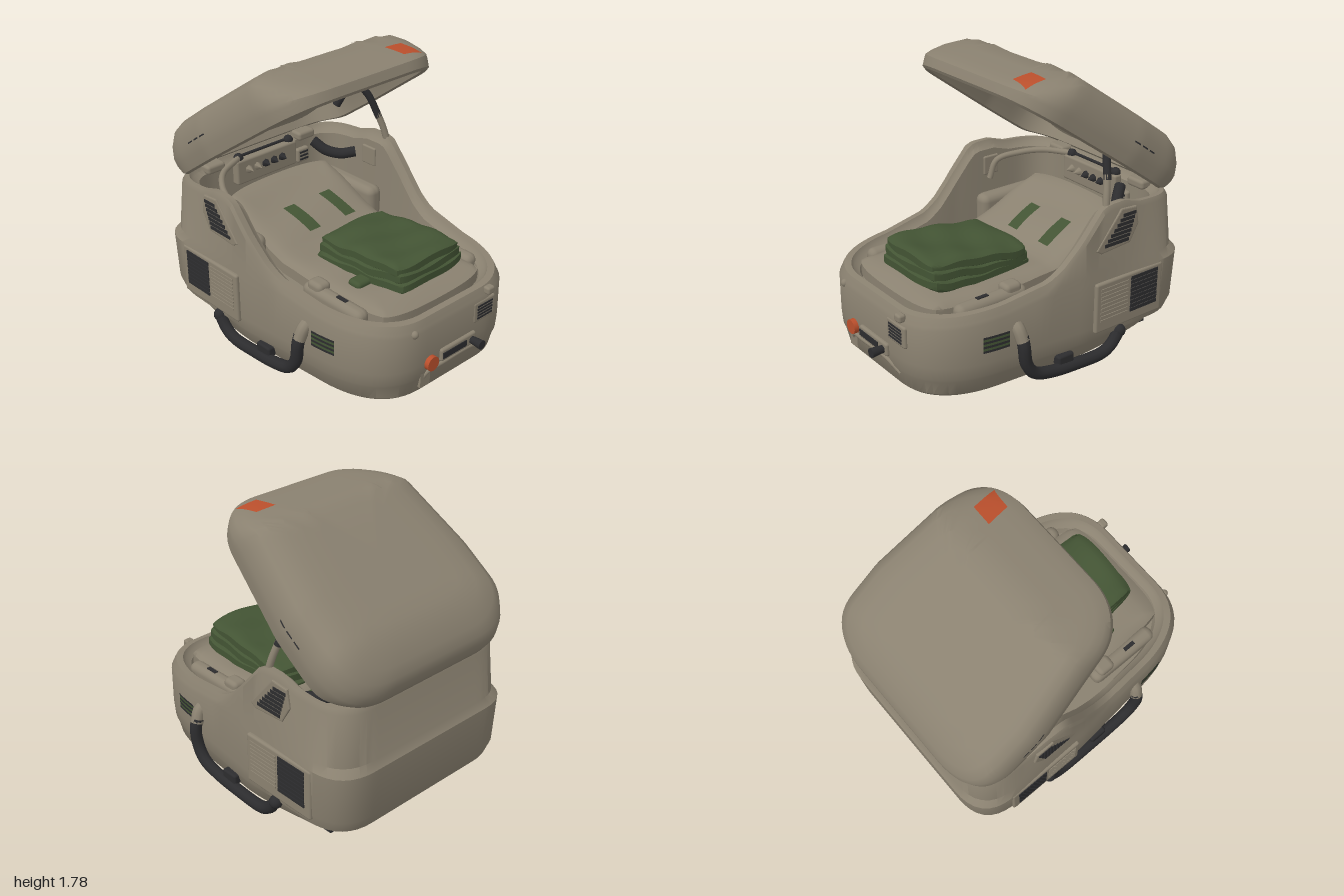
import * as THREE from 'three';
import { toCreasedNormals } from 'three/addons/utils/BufferGeometryUtils.js';
import { RoundedBoxGeometry } from 'three/addons/geometries/RoundedBoxGeometry.js';

const V = (x, y, z) => new THREE.Vector3(x, y, z);
const mat = (name, color) => new THREE.MeshStandardMaterial({ name, color, side: THREE.DoubleSide });
const shell = mat('khaki shell', 0x8a8170);
const black = mat('black rubber', 0x2c2c2e);
const green = mat('green cloth', 0x435434);
const orange = mat('orange marker', 0xba4f2c);
const smooth = THREE.MathUtils.smoothstep;

function add(parent, name, geo, material, x = 0, y = 0, z = 0) {
  const m = new THREE.Mesh(geo, material);
  m.name = name;
  m.position.set(x, y, z);
  parent.add(m);
  return m;
}
const box = (g, name, m, w, h, d, x, y, z) => add(g, name, new THREE.BoxGeometry(w, h, d), m, x, y, z);
const rounded = (g, name, m, w, h, d, x, y, z, r = 0.015) =>
  add(g, name, new RoundedBoxGeometry(w, h, d, 2, r), m, x, y, z);
const tube = (g, name, m, pts, r) =>
  add(g, name, new THREE.TubeGeometry(new THREE.CatmullRomCurve3(pts.map(p => V(...p)), false, 'centripetal'), 40, r, 10), m);
const ball = (g, name, m, r, x, y, z) => add(g, name, new THREE.SphereGeometry(r, 14, 10), m, x, y, z);

// Symmetric plan outline: front corners and back corners are bezier curves
function outline(front, back, wf, wb, flatF, flatB, zf, zs, zb) {
  const s = new THREE.Shape();
  s.moveTo(0, front);
  s.lineTo(flatF, front);
  s.bezierCurveTo(wf * 0.8, front, wf * 0.97, zf + (front - zf) * 0.55, wf, zf);
  s.lineTo(wb, zs);
  s.lineTo(wb, zb);
  s.bezierCurveTo(wb, (zb + back * 2) / 3, (wb * 2 + flatB) / 3, back, flatB, back);
  s.lineTo(0, back);
  const half = s.getSpacedPoints(64);
  return half.concat(half.slice(1, -1).reverse().map(p => new THREE.Vector2(-p.x, p.y)));
}

// Loft rings of one outline; each row is [inset, height], either may be a rule of z; inset 1 closes the centre
function loft(pts, hx, hz, rows) {
  const pos = [], idx = [], n = pts.length, val = (f, z) => typeof f === 'function' ? f(z) : f;
  for (const [inset, h] of rows)
    for (const p of pts) {
      const d = val(inset, p.y);
      const x = d === 1 ? 0 : p.x * (1 - d / hx), z = d === 1 ? 0 : p.y * (1 - d / hz);
      pos.push(x, val(h, z), z);
    }
  for (let j = 0; j < rows.length - 1; j++)
    for (let i = 0; i < n; i++) {
      const a = j * n + i, b = j * n + (i + 1) % n;
      if (rows[j][0] !== 1) idx.push(a, b, b + n);
      if (rows[j + 1][0] !== 1) idx.push(a, b + n, a + n);
    }
  const g = new THREE.BufferGeometry();
  g.setAttribute('position', new THREE.Float32BufferAttribute(pos, 3));
  g.setIndex(idx);
  return toCreasedNormals(g, 0.6);
}

// Soft pad with pinched edges, rounded corners and a height rule
function pad(w, h, d, rule) {
  const g = new THREE.BoxGeometry(w, h, d, 28, 4, 28), p = g.attributes.position;
  for (let i = 0; i < p.count; i++) {
    const u = p.getX(i) / w * 2, v = p.getZ(i) / d * 2;
    const e = Math.max(Math.abs(u), Math.abs(v)), c = 1 - 0.07 * (u * v) ** 4;
    const y = p.getY(i) * Math.sqrt(1 - 0.75 * e ** 10);
    p.setXYZ(i, p.getX(i) * c, y + rule(p.getX(i), p.getZ(i)), p.getZ(i) * c);
  }
  return toCreasedNormals(g, 0.8);
}

// Thin plate laid onto a surface by casting rays along dir
function decal(g, name, m, target, dir, w, h, place) {
  const geo = new THREE.PlaneGeometry(w, h, 6, 6), p = geo.attributes.position, ray = new THREE.Raycaster();
  for (let i = 0; i < p.count; i++) {
    const o = place(p.getX(i), p.getY(i));
    ray.set(o, dir);
    const hit = ray.intersectObject(target, false)[0];
    const q = (hit ? hit.point : o).clone().addScaledVector(dir, -0.006);
    p.setXYZ(i, q.x, q.y, q.z);
  }
  geo.computeVertexNormals();
  return add(g, name, geo, m);
}

// Height of the rim along z, front to back
const rimPts = [[0.9, 0.53], [0.8, 0.545], [0.4, 0.57], [0.1, 0.62], [0, 0.68], [-0.1, 0.78], [-0.28, 0.985],
  [-0.33, 1], [-0.45, 1], [-0.58, 0.96], [-0.95, 0.935]];
function rim(z) {
  for (let i = 1; i < rimPts.length; i++) {
    const [z0, y0] = rimPts[i - 1], [z1, y1] = rimPts[i];
    if (z >= z1) return y0 + (y1 - y0) * Math.max(0, (z0 - z) / (z0 - z1));
  }
  return 0.935;
}

function buildBody(root) {
  const g = new THREE.Group();
  g.name = 'body';
  root.add(g);
  const bottom = z => 0.04 - 0.02 * z;
  const rear = (a, b) => z => a + b * smooth(-z, 0.2, 0.95);
  const body = add(g, 'tub', loft(outline(0.9, -0.965, 0.65, 0.705, 0.25, 0.45, 0.42, -0.15, -0.7), 0.705, 0.96, [
    [1, 0.04], [rear(0.06, 0.06), bottom], [rear(0.035, 0.065), z => bottom(z) + 0.025], [rear(0.015, 0.07), 0.14],
    [rear(0.006, 0.01), 0.16], [rear(0, -0.01), 0.24], [rear(0, -0.022), z => Math.min(0.545, rim(z) - 0.065)],
    [rear(0.01, 0), z => Math.min(0.59, rim(z) - 0.045)],
    [rear(0.015, 0.02), z => rim(z) - 0.03], [rear(0.03, 0.02), rim], [0.07, rim], [0.085, z => rim(z) - 0.03],
    [0.115, z => rim(z) - 0.05], [0.13, 0.46], [1, 0.46]]), shell);

  for (const s of [-1, 1]) {
    // Lower louvre panel
    rounded(g, 'louvrePanel', shell, 0.05, 0.33, 0.54, s * 0.703, 0.37, -0.475);
    for (let i = 0; i < 9; i++) {
      box(g, 'darkLouvre', black, 0.008, 0.022, 0.22, s * 0.729, 0.285 + i * 0.027, -0.59);
      box(g, 'louvreSlat', shell, 0.012, 0.012, 0.22, s * 0.727, 0.285 + i * 0.026, -0.35);
    }
    // Upper slanted vent
    const f = new THREE.Shape([[0.23, 0.74], [0.26, 0.72], [0.48, 0.735], [0.54, 0.84], [0.52, 0.945], [0.41, 0.955]].map(q => new THREE.Vector2(...q)));
    const frame = add(g, 'upperVentFrame', new THREE.ExtrudeGeometry(f, { depth: 0.02, bevelSize: 0.008, bevelThickness: 0.006, bevelSegments: 2 }), shell, s > 0 ? 0.672 : -0.692);
    frame.rotation.y = Math.PI / 2;
    for (let i = 0; i < 7; i++)
      box(g, 'upperVentSlot', black, 0.006, 0.021, 0.19 - i * 0.015, s * 0.699, 0.757 + i * 0.027, -0.375 - i * 0.0157);
    // Front side grille in alternating strips
    for (let i = 0; i < 7; i++)
      decal(g, 'grilleStrip', i % 2 ? green : black, body, V(-s, 0, 0), 0.17, 0.0145, (a, b) => V(s * 2, 0.318 + i * 0.0145 + b, 0.475 + a));
    // Carrying handle
    const X = s * 0.7;
    tube(g, 'sideHandle', black, [[s * 0.68, 0.36, 0.32], [X, 0.3, 0.32], [X, 0.18, 0.3], [X, 0.1, 0.24], [X, 0.062, 0.12],
      [X, 0.042, -0.08], [X, 0.042, -0.3], [X, 0.08, -0.37], [X, 0.16, -0.43]], 0.038);
    tube(g, 'handleSocket', shell, [[s * 0.62, 0.43, 0.33], [s * 0.66, 0.4, 0.33], [s * 0.69, 0.33, 0.32]], 0.04);
    ball(g, 'handleEnd', black, 0.042, X, 0.15, -0.425);
    rounded(g, 'handleBracket', black, 0.06, 0.07, 0.12, s * 0.68, 0.1, 0);
    box(g, 'cornerFoot', black, 0.1, 0.03, 0.08, s * 0.53, 0.065, -0.72);
    // Plate on the inner wall
    rounded(g, 'innerWallPlate', shell, 0.03, 0.13, 0.12, s * 0.59, 0.84, -0.42, 0.01);
  }

  // Front fittings
  add(g, 'frontMarker', new THREE.CylinderGeometry(0.046, 0.046, 0.05, 24), orange, -0.2, 0.235, 0.905).rotation.x = Math.PI / 2;
  rounded(g, 'latchPlate', shell, 0.3, 0.085, 0.04, 0.03, 0.242, 0.9);
  box(g, 'latchSlot', black, 0.2, 0.04, 0.008, -0.01, 0.242, 0.921);
  add(g, 'frontKnob', new THREE.CylinderGeometry(0.03, 0.022, 0.1, 14), black, 0.14, 0.24, 0.95).rotation.x = Math.PI / 2;
  rounded(g, 'frontVentFrame', shell, 0.19, 0.14, 0.04, 0.26, 0.395, 0.885);
  for (let i = 0; i < 5; i++) box(g, 'frontVentSlot', black, 0.13, 0.012, 0.008, 0.26, 0.355 + i * 0.02, 0.905);
  rounded(g, 'rimCatch', shell, 0.06, 0.05, 0.05, 0.3, 0.51, 0.895);
  ball(g, 'rimStud', shell, 0.025, -0.32, 0.47, 0.885);
  tube(g, 'towBar', shell, [[-0.24, 0.08, 0.86], [-0.22, 0.17, 0.895], [-0.1, 0.18, 0.9], [0.14, 0.18, 0.9], [0.26, 0.12, 0.875]], 0.014);
  box(g, 'towTab', shell, 0.08, 0.1, 0.03, -0.23, 0.13, 0.88);
}

function buildInterior(root) {
  const g = new THREE.Group();
  g.name = 'interior';
  root.add(g);
  const rise = z => Math.max(0, -0.15 - z) * 0.42;
  // Mattress with reclined back and side bolsters
  const mattress = add(g, 'mattress', pad(0.86, 0.14, 1.48, (x, z) =>
    0.5 + rise(z) + 0.012 * Math.sin(z * 14) * Math.cos(x * 5)), shell, 0, 0, 0.03);
  mattress.updateMatrixWorld();
  for (const s of [-1, 1]) {
    rounded(g, 'bolster', shell, 0.1, 0.12, 0.5, s * 0.46, 0.5, 0.38, 0.045);
    rounded(g, 'headBolster', shell, 0.12, 0.22, 0.5, s * 0.49, 0.58, -0.5, 0.05);
    rounded(g, 'sideBlock', shell, 0.1, 0.1, 0.12, s * 0.45, 0.54, 0.23, 0.03);
    box(g, 'buckle', black, 0.025, 0.03, 0.08, s * 0.46, 0.55, 0.44);
    decal(g, 'strap', green, mattress, V(0, -1, 0), 0.09, 0.22, (a, b) => V(0.05 + s * 0.15 + a - b * 0.15, 2, -0.32 - b));
  }
  // Folded blanket in layers
  for (let i = 0; i < 3; i++) {
    const b = add(g, 'blanketLayer', pad(0.56 - i * 0.015, 0.088, 0.75 - i * 0.02, (x, z) =>
      (z - 0.3) * 0.09 + 0.008 * Math.sin(x * 13 + z * 9 + i * 2) + 0.005 * Math.sin(z * 24 - x * 8)), green, 0.04, 0.618 + i * 0.05, 0.315);
    b.rotation.y = 0.05 - i * 0.04;
  }
  rounded(g, 'blanketCorner', green, 0.12, 0.06, 0.1, -0.27, 0.57, 0.39, 0.025);

  // Control panel on the back wall
  rounded(g, 'controlPanel', shell, 0.5, 0.17, 0.06, 0, 0.85, -0.8);
  for (let i = 0; i < 5; i++)
    add(g, 'controlKnob', new THREE.ConeGeometry(0.034, 0.06, 6), i < 2 ? shell : black, -0.16 + i * 0.07, 0.86, -0.75).rotation.x = Math.PI / 2;
  add(g, 'hingeRod', new THREE.CylinderGeometry(0.01, 0.01, 0.44, 10), black, 0, 0.945, -0.82).rotation.z = Math.PI / 2;
  for (const s of [-1, 1]) {
    ball(g, 'rodEnd', black, 0.033, s * 0.21, 0.94, -0.81);
    rounded(g, 'hingeBlock', shell, 0.14, 0.06, 0.1, s * 0.38, 0.92, -0.86, 0.02);
  }
  rounded(g, 'wallVent', shell, 0.1, 0.1, 0.04, 0.31, 0.81, -0.79);
  for (let i = 0; i < 3; i++) box(g, 'wallVentSlot', black, 0.07, 0.012, 0.008, 0.31, 0.785 + i * 0.025, -0.768);
  tube(g, 'grabRail', shell, [[-0.57, 0.75, -0.4], [-0.56, 0.87, -0.45], [-0.5, 0.91, -0.6], [-0.4, 0.93, -0.72], [-0.22, 0.945, -0.8]], 0.02);
  tube(g, 'hose', black, [[0.35, 0.92, -0.72], [0.4, 0.86, -0.65], [0.47, 0.835, -0.58], [0.55, 0.845, -0.52]], 0.035);
  // Folding lid strut
  tube(g, 'strutBase', shell, [[0.65, 0.96, -0.32], [0.63, 1.06, -0.34], [0.6, 1.16, -0.365]], 0.022);
  tube(g, 'strut', black, [[0.61, 1.13, -0.36], [0.55, 1.29, -0.4], [0.48, 1.39, -0.45]], 0.024);
  tube(g, 'strutGrip', black, [[0.47, 1.4, -0.46], [0.44, 1.32, -0.5], [0.4, 1.22, -0.54]], 0.028);
  ball(g, 'strutJoint', shell, 0.042, 0.47, 1.4, -0.46);
}

function buildLid(root) {
  const g = new THREE.Group();
  g.name = 'lid';
  root.add(g);
  // Dome height ramps from a thin lip at the front and dips at the back
  const dome = z => Math.min(0.272, 0.04 + 0.71 * Math.max(0, 0.69 - z)) * (1 - 0.28 * smooth(-z, 0.42, 0.72));
  const up = k => z => k * dome(z);
  const inner = k => z => Math.min(k * dome(z), dome(z) - 0.03, 0.2 + 0.5 * (z + 0.35));
  const lip = z => -0.055 + 0.045 * smooth(-z, 0.5, 0.7);
  const lid = add(g, 'lidShell', loft(outline(0.68, -0.72, 0.62, 0.7, 0.28, 0.36, 0.4, -0.15, -0.4), 0.695, 0.7, [
    [1, inner(0.82)], [0.4, inner(0.82)], [0.3, inner(0.82)], [0.16, inner(0.82)], [0.1, inner(0.72)], [0.06, inner(0.35)],
    [0.055, z => lip(z) + 0.01], [0.032, lip], [0.012, z => lip(z) + 0.012], [0, up(0.1)], [-0.002, up(0.3)], [0.014, up(0.58)],
    [0.045, up(0.8)], [0.1, up(0.92)], [0.2, up(0.98)], [0.3, up(1)], [0.4, up(1)], [1, up(1)]]), shell);
  // Marker patch and creases on top
  decal(g, 'topMarker', orange, lid, V(0, -1, 0), 0.135, 0.115, (a, b) => V(0.39 + a - b * 0.15, 2, 0.575 - b));
  for (const s of [-1, 1]) {
    decal(g, 'topRidge', shell, lid, V(0, -1, 0), 0.015, 0.2, (a, b) => V(s * 0.28 - 0.02 + a - b * 0.15, 2, 0.44 - b));
    for (let i = 0; i < 3; i++)
      decal(g, 'sideMark', black, lid, V(-s, 0, 0), 0.05, 0.009, (a, b) => V(s * 2, 0.1 + b, -0.12 - i * 0.07 + a));
  }
  // Ceiling panels and windows
  rounded(g, 'ceilingPanel', shell, 0.48, 0.03, 0.56, 0.01, 0.222, -0.05);
  for (const s of [-1, 1]) box(g, 'ceilingRib', shell, 0.015, 0.02, 0.56, 0.01 + s * 0.24, 0.21, -0.05);
  rounded(g, 'windowFrame', shell, 0.25, 0.02, 0.38, -0.08, 0.204, 0.02, 0.008);
  box(g, 'windowTopSlot', black, 0.2, 0.006, 0.03, -0.08, 0.192, 0.19);
  for (let i = 0; i < 7; i++) box(g, 'ceilingGrille', black, 0.1, 0.006, 0.038, 0.13, 0.205, -0.09 + i * 0.045);
  decal(g, 'ceilingWindow', black, lid, V(0, 1, 0), 0.11, 0.38, (a, b) => V(-0.37 + a * (1 - 10 * b * b), -1, b));
  rounded(g, 'ceilingPad', shell, 0.2, 0.03, 0.18, 0, 0.14, -0.47, 0.012).rotation.x = -0.46;
  // Open the lid about its rear edge
  g.position.set(0, 1.34, -0.35);
  g.rotation.x = -0.616;
}

export function createModel() {
  const root = new THREE.Group();
  root.name = 'openPod';
  buildBody(root);
  buildInterior(root);
  buildLid(root);
  return root;
}
